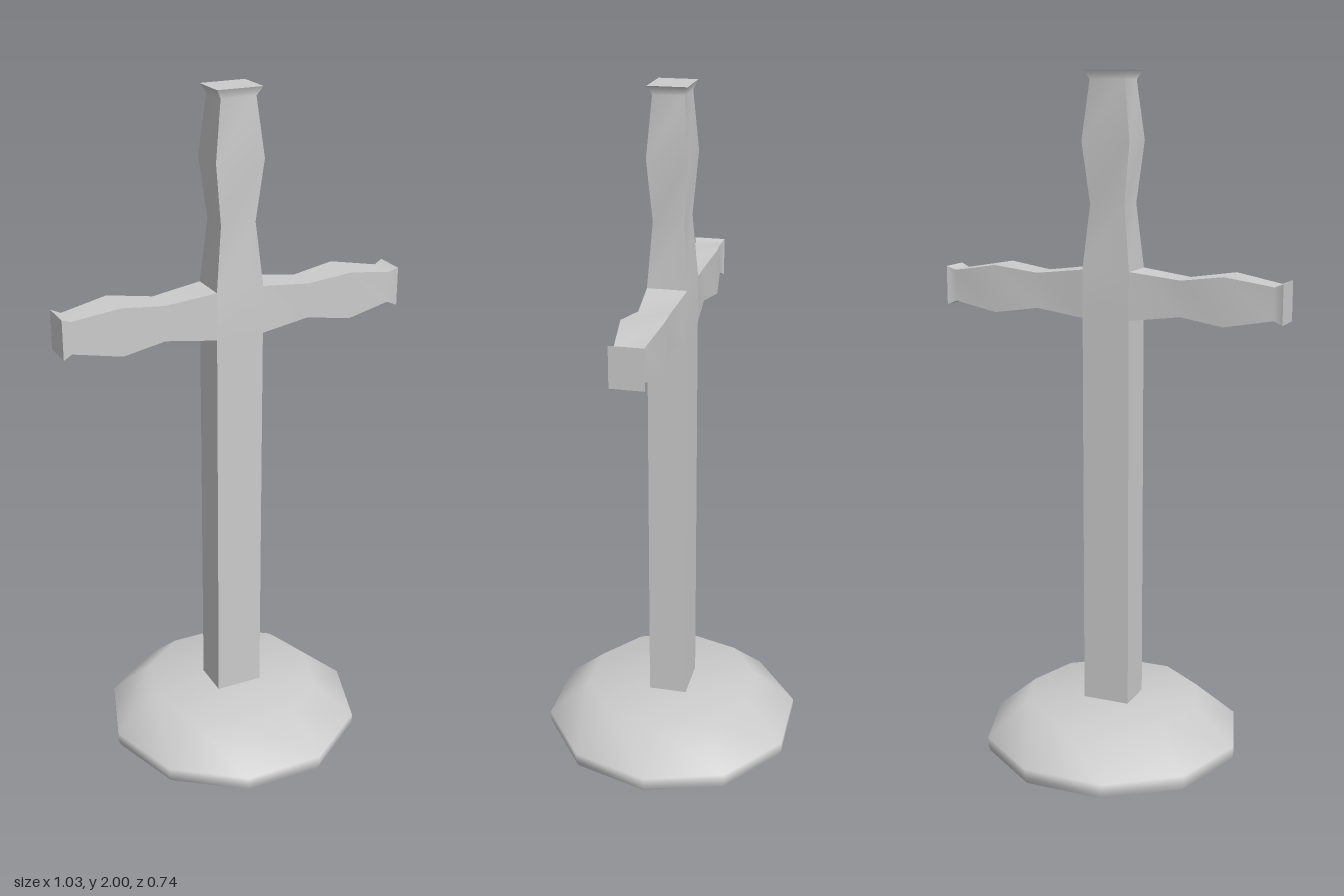
import * as THREE from 'three';

const material = new THREE.MeshStandardMaterial({ color: 0xcccccc, side: THREE.DoubleSide });

// Square-sectioned bar along +y. Stations: [y, half width x, half depth z].
// Each long side is its own strip, so corners stay sharp and the length shades smoothly.
function taperedBar(stations) {
  const corners = [[1, 1], [1, -1], [-1, -1], [-1, 1]];
  const position = [], index = [];
  for (let s = 0; s < 4; s++) {
    const a = corners[s], b = corners[(s + 1) % 4];
    const base = position.length / 3;
    stations.forEach(([y, w, d], i) => {
      position.push(a[0] * w, y, a[1] * d, b[0] * w, y, b[1] * d);
      if (i === 0) return;
      const k = base + i * 2;
      index.push(k - 2, k - 1, k + 1, k - 2, k + 1, k);
    });
  }
  // End cap
  const [y, w, d] = stations[stations.length - 1];
  const cap = position.length / 3;
  corners.forEach(([x, z]) => position.push(x * w, y, z * d));
  index.push(cap, cap + 1, cap + 2, cap, cap + 2, cap + 3);

  const geometry = new THREE.BufferGeometry();
  geometry.setAttribute('position', new THREE.Float32BufferAttribute(position, 3));
  geometry.setIndex(index);
  geometry.computeVertexNormals();
  return geometry;
}

export function createModel() {
  const group = new THREE.Group();
  const add = (name, geometry, x, y, z) => {
    const mesh = new THREE.Mesh(geometry, material);
    mesh.name = name;
    mesh.position.set(x, y, z);
    group.add(mesh);
    return mesh;
  };
  const cx = -0.007, cz = -0.002;

  // Ten-sided foot with sloping, softly shaded sides
  const profile = [[0.381, 0], [0.388, 0.018], [0.388, 0.045], [0.265, 0.15], [0, 0.15]]
    .map(([r, y]) => new THREE.Vector2(r, y));
  add('base', new THREE.LatheGeometry(profile, 10, Math.PI / 2), cx, 0, cz);
  const underside = new THREE.CircleGeometry(0.381, 10).rotateX(Math.PI / 2);
  add('baseUnderside', underside, cx, 0, cz);

  // Upright: straight post, then a waisted and flared head
  add('upright', taperedBar([
    [0.13, 0.071, 0.057], [1.314, 0.071, 0.057], [1.452, 0.071, 0.057],
    [1.635, 0.052, 0.044], [1.81, 0.072, 0.057], [1.975, 0.052, 0.044], [2, 0.067, 0.055],
  ]), cx, 0, cz);

  // Mirrored cross arms with the same waisted shape
  const arm = taperedBar([
    [0.071, 0.069, 0.057], [0.22, 0.051, 0.044], [0.35, 0.069, 0.058],
    [0.488, 0.046, 0.039], [0.515, 0.057, 0.047],
  ]);
  for (const side of [1, -1]) {
    const mesh = add(side > 0 ? 'leftArm' : 'rightArm', arm, cx, 1.383, cz);
    mesh.rotation.z = -side * Math.PI / 2;
  }
  return group;
}
